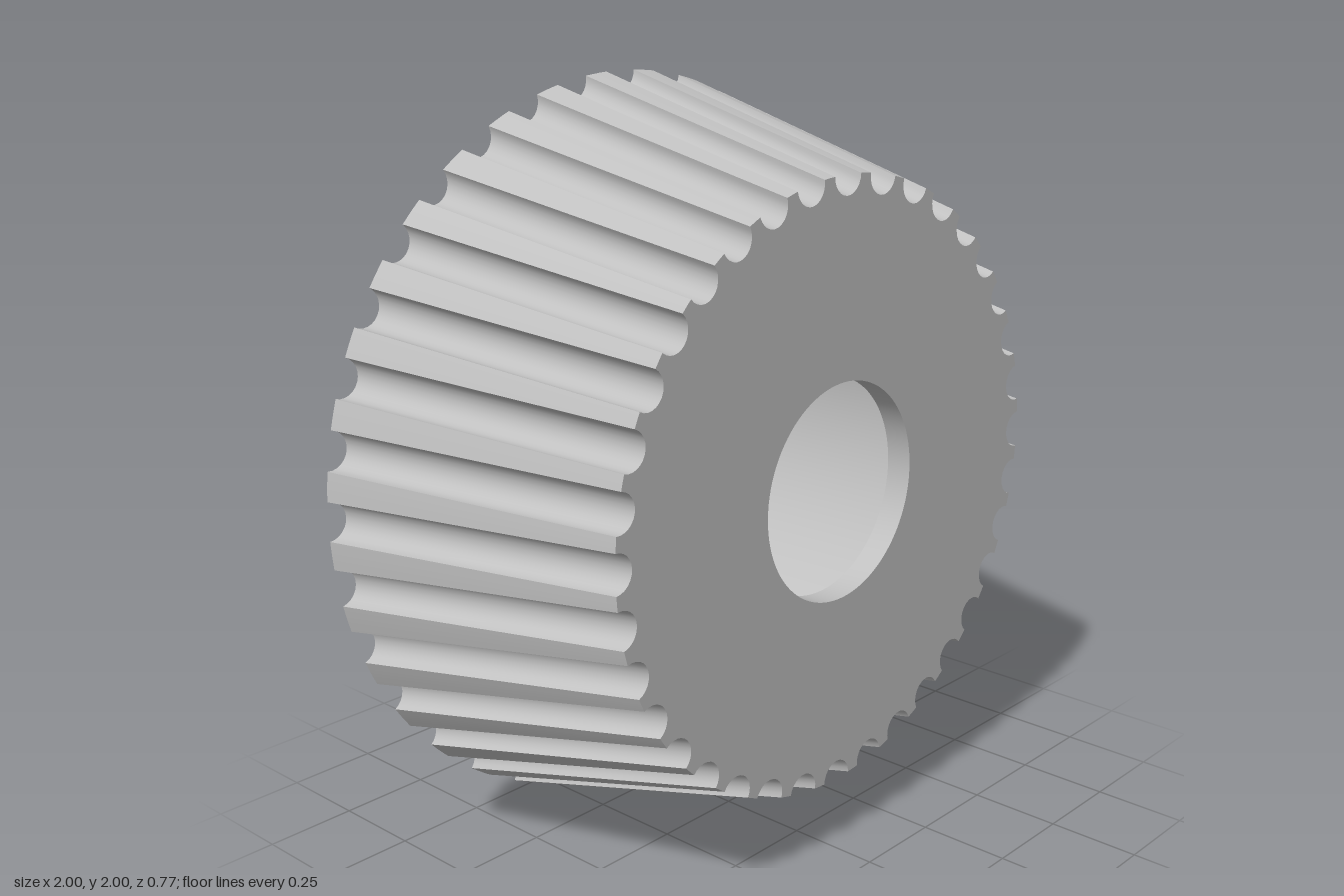
import * as THREE from 'three';
import { toCreasedNormals } from 'three/addons/utils/BufferGeometryUtils.js';

const FLUTES = 36;
const FLUTE_RADIUS = 0.05;
const BACK = { r: 1.0, z: -0.383 };
const FRONT = { r: 0.795, z: 0.383 };
const BORE = 0.285;
const RECESS = 0.66;
const WALL = 0.07;

// Fluted rim at radius r, counter-clockwise, with half-round grooves
function rimOutline(r) {
  const points = [];
  const step = (Math.PI * 2) / FLUTES;
  const half = Math.asin(FLUTE_RADIUS / r);
  const centre = r * Math.cos(half);
  const arcSteps = 12, landSteps = 3;
  for (let i = 0; i < FLUTES; i++) {
    const a = i * step;
    const c = Math.cos(a), s = Math.sin(a);
    for (let j = 0; j <= arcSteps; j++) {
      const t = -Math.PI / 2 + (Math.PI * j) / arcSteps;
      const u = centre - FLUTE_RADIUS * Math.cos(t);
      const v = FLUTE_RADIUS * Math.sin(t);
      points.push(new THREE.Vector2(u * c - v * s, u * s + v * c));
    }
    for (let j = 1; j < landSteps; j++) {
      const t = a + half + ((step - 2 * half) * j) / landSteps;
      points.push(new THREE.Vector2(r * Math.cos(t), r * Math.sin(t)));
    }
  }
  return points;
}

// Tapered side wall joining the two rims
function sideWall(back, front) {
  const n = back.length, positions = [], index = [];
  back.forEach((p) => positions.push(p.x, p.y, BACK.z));
  front.forEach((p) => positions.push(p.x, p.y, FRONT.z));
  for (let i = 0; i < n; i++) {
    const k = (i + 1) % n;
    index.push(i, k, n + k, i, n + k, n + i);
  }
  const geometry = new THREE.BufferGeometry();
  geometry.setAttribute('position', new THREE.Float32BufferAttribute(positions, 3));
  geometry.setIndex(index);
  return toCreasedNormals(geometry, 0.5);
}

// Flat end face with a round hole, facing +z
function endFace(outline, holeRadius) {
  const shape = new THREE.Shape(outline);
  shape.holes.push(new THREE.Path().absarc(0, 0, holeRadius, 0, Math.PI * 2, true));
  return new THREE.ShapeGeometry(shape, 48);
}

export function createModel() {
  const group = new THREE.Group();
  group.name = 'flutedConicalWheel';
  const grey = new THREE.MeshStandardMaterial({ color: 0xc0c0c0 });
  grey.name = 'grey';

  const add = (name, geometry) => {
    const mesh = new THREE.Mesh(geometry, grey);
    mesh.name = name;
    mesh.position.y = 1;
    group.add(mesh);
  };

  const backRim = rimOutline(BACK.r);
  const frontRim = rimOutline(FRONT.r);

  add('flutedSide', sideWall(backRim, frontRim));
  add('frontFace', endFace(frontRim, BORE).translate(0, 0, FRONT.z));
  add('backFace', endFace(backRim, RECESS).rotateY(Math.PI).translate(0, 0, BACK.z));

  // Stepped hole: narrow bore at the front, wide recess from the back
  const profile = [
    [BORE, FRONT.z], [BORE, FRONT.z - WALL], [RECESS, FRONT.z - WALL], [RECESS, BACK.z],
  ].map(([x, y]) => new THREE.Vector2(x, y));
  const hole = new THREE.LatheGeometry(profile, 96).rotateX(Math.PI / 2);
  add('steppedBore', toCreasedNormals(hole, 0.5));

  return group;
}
